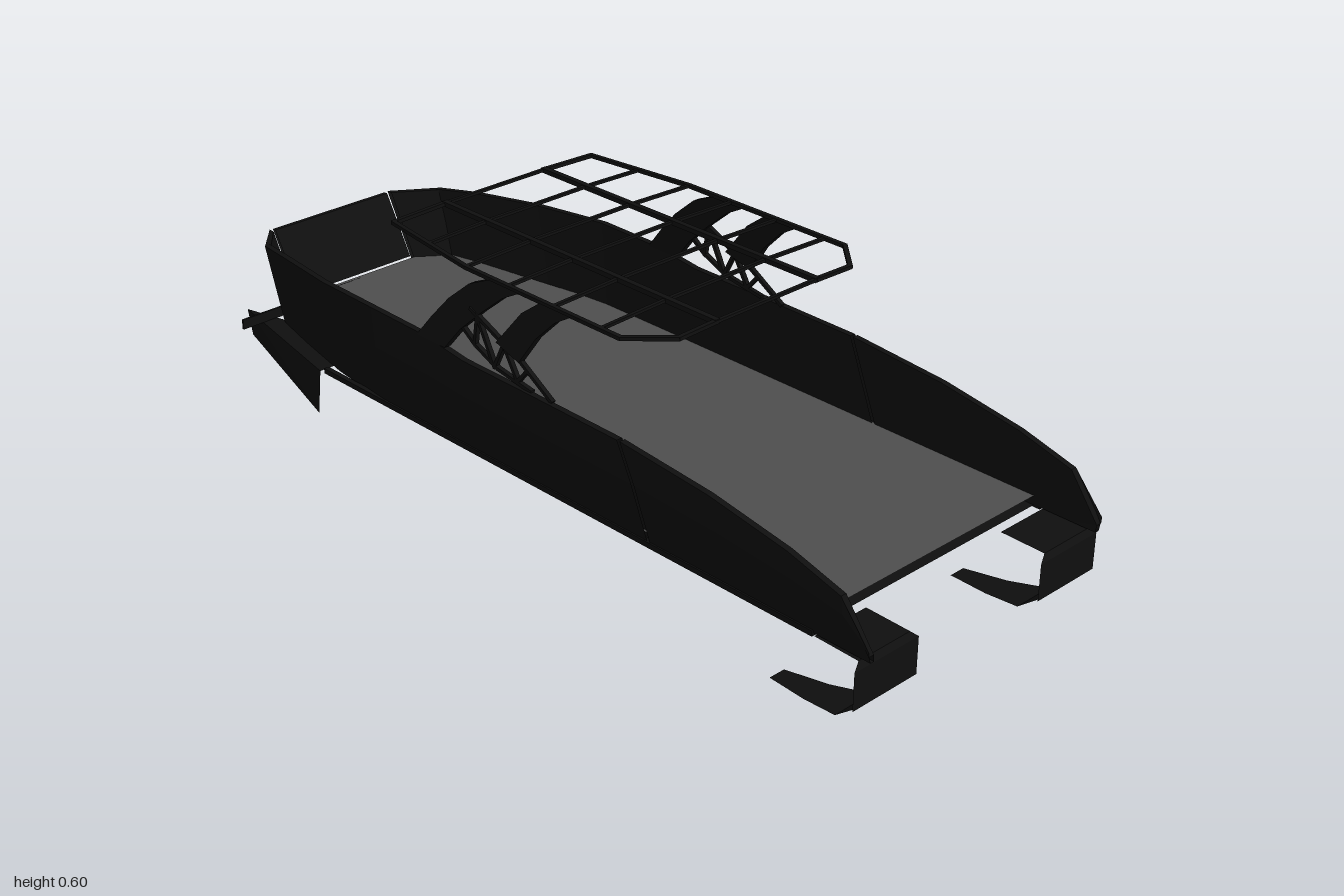
import * as THREE from 'three';

export function createModel() {
  const model = new THREE.Group();
  const black = new THREE.MeshStandardMaterial({ name: 'hullBlack', color: 0x0f0f0f, side: THREE.DoubleSide });
  const grey = new THREE.MeshStandardMaterial({ name: 'deckGrey', color: 0x4f4f4f, side: THREE.DoubleSide });

  const add = (name, geo, mat = black, parent = model) => {
    const mesh = new THREE.Mesh(geo, mat);
    mesh.name = name;
    parent.add(mesh);
    return mesh;
  };

  // Joins cross-sections of equal length with flat quads; closed wraps each section
  function loft(sections, closed = false) {
    const pos = [];
    const n = sections[0].length;
    for (let i = 0; i + 1 < sections.length; i++) {
      for (let j = 0; j < (closed ? n : n - 1); j++) {
        const k = (j + 1) % n;
        const [a, b, c, d] = [sections[i][j], sections[i][k], sections[i + 1][k], sections[i + 1][j]];
        pos.push(...a, ...b, ...c, ...a, ...c, ...d);
      }
    }
    const geo = new THREE.BufferGeometry();
    geo.setAttribute('position', new THREE.Float32BufferAttribute(pos, 3));
    geo.computeVertexNormals();
    return geo;
  }

  // Square bar between two points
  function bar(name, a, b, w, parent) {
    const p = new THREE.Vector3(...a), q = new THREE.Vector3(...b);
    const mesh = add(name, new THREE.BoxGeometry(w, w * 0.8, p.distanceTo(q) + w * 0.5), black, parent);
    mesh.position.copy(p).add(q).multiplyScalar(0.5);
    mesh.lookAt(q);
    return mesh;
  }

  // Flat plate with a mirrored outline given as [x, z]
  function plate(points, y) {
    const outline = [...points, ...points.slice().reverse().map(([x, z]) => [-x, z])];
    const geo = new THREE.ShapeGeometry(new THREE.Shape(outline.map(([x, z]) => new THREE.Vector2(x, -z))));
    return geo.rotateX(-Math.PI / 2).translate(0, y, 0);
  }

  // Deck and underside
  const deckEdge = [[0.33, 0.85], [0.33, -0.38], [0.25, -0.84], [0.17, -0.9]];
  add('deck', plate(deckEdge, 0.21), grey);
  add('underside', plate(deckEdge, 0.188));
  add('deckEdgePanel', new THREE.BoxGeometry(0.34, 0.024, 0.005)).position.set(-0.17, 0.198, -0.89);

  // Stern panel, leaning outward
  add('sternPanel', loft([
    [[-0.165, 0.21, -0.92], [-0.165, 0.35, -1], [-0.165, 0.35, -0.99], [-0.165, 0.21, -0.91]],
    [[0.165, 0.21, -0.92], [0.165, 0.35, -1], [0.165, 0.35, -0.99], [0.165, 0.21, -0.91]]], true));

  // Everything that exists on both sides
  const side = new THREE.Group();
  side.name = 'leftSide';

  // Side walls: stations of [x, top y, top z, bottom z]
  const wall = (stations) => loft(stations.map(([x, y, zt, zb]) => [
    [x - 0.003, 0.19, zb], [x + 0.004, 0.23 + (y - 0.23) * 0.5, (zt + zb) / 2],
    [x + 0.003, y, zt], [x - 0.011, y, zt], [x - 0.013, 0.19, zb]]), true);
  add('frontWall', wall([[0.337, 0.205, 1, 1], [0.337, 0.3, 0.93, 0.94], [0.337, 0.335, 0.8, 0.82],
    [0.337, 0.367, 0.6, 0.64], [0.337, 0.386, 0.364, 0.444]]), black, side);
  add('rearWall', wall([[0.337, 0.386, 0.357, 0.437], [0.337, 0.389, 0.1, 0.12], [0.337, 0.39, -0.1, -0.1],
    [0.337, 0.405, -0.22, -0.2], [0.336, 0.407, -0.4, -0.38], [0.317, 0.395, -0.6, -0.56],
    [0.283, 0.381, -0.78, -0.73], [0.255, 0.366, -0.9, -0.85]]), black, side);
  add('cornerPanel', loft([
    [[0.25, 0.19, -0.85], [0.257, 0.366, -0.9], [0.248, 0.366, -0.89], [0.242, 0.19, -0.84]],
    [[0.174, 0.2, -0.918], [0.174, 0.351, -1], [0.174, 0.351, -0.985], [0.174, 0.2, -0.905]]], true), black, side);
  add('keelStrip', new THREE.BoxGeometry(0.012, 0.012, 1.45), black, side).position.set(0.332, 0.19, 0.14);

  // Rear fin: outer blade and the shelf joining it to the hull
  add('rearFinBlade', loft([
    [[0.355, 0.09, -0.59], [0.345, 0.19, -0.59]],
    [[0.278, 0.133, -0.945], [0.268, 0.185, -0.975]]]), black, side);
  add('rearFinShelf', loft([
    [[0.345, 0.19, -0.59], [0.24, 0.19, -0.59]],
    [[0.268, 0.185, -0.975], [0.24, 0.188, -0.85]]]), black, side);

  // Front drive: a bent sheet open to the rear, [half width, y, z]
  add('frontDrive', loft([[0.07, 0.187, 0.87], [0.07, 0.185, 0.975], [0.0875, 0.17, 0.982], [0.0875, 0.088, 0.982],
    [0.07, 0.087, 0.98], [0.05, 0.027, 0.91], [0.035, 0.01, 0.82], [0.02, 0.001, 0.72]].map(([w, y, z]) =>
    [[0.267 - w, y, z], [0.267 + w, y, z]])), black, side);

  // Curved canopy struts: pairs of edge points [z front, z back, y], leaning inward
  const strut = (name, rows) => add(name, loft(rows.map(([zf, zb, yf, yb]) => {
    const xf = 0.336 - (yf - 0.4) * 0.1, xb = 0.336 - (yb - 0.4) * 0.1;
    return [[xf + 0.005, yf, zf], [xb + 0.005, yb, zb], [xb - 0.012, yb, zb], [xf - 0.012, yf, zf]];
  }), true), black, side);
  strut('rearStrut', [[0.06, -0.03, 0.587, 0.587], [0.01, -0.09, 0.56, 0.56], [-0.05, -0.15, 0.51, 0.51],
    [-0.11, -0.2, 0.455, 0.455], [-0.155, -0.245, 0.4, 0.4]]);
  strut('frontStrut', [[0.21, 0.12, 0.587, 0.587], [0.165, 0.07, 0.56, 0.55],
    [0.115, 0.025, 0.51, 0.495], [0.07, 0, 0.445, 0.465]]);

  // Bracing between the struts, path points are [z, y]
  const brace = (pts) => pts.slice(1).forEach((q, i) =>
    bar('brace', [0.328, pts[i][1], pts[i][0]], [0.328, q[1], q[0]], 0.01, side));
  brace([[0.16, 0.39], [0.07, 0.445], [0, 0.475], [-0.08, 0.51]]);
  brace([[0.1, 0.39], [0.0, 0.405], [-0.07, 0.435], [-0.12, 0.47]]);
  brace([[0.09, 0.432], [0.06, 0.398], [0.02, 0.465], [-0.01, 0.405], [-0.06, 0.5], [-0.07, 0.435]]);

  const mirrored = side.clone();
  mirrored.name = 'rightSide';
  mirrored.scale.x = -1;
  model.add(side, mirrored);

  // Canopy frame, slightly arched
  const canopy = new THREE.Group();
  canopy.name = 'canopyFrame';
  model.add(canopy);
  const arch = (x) => 0.594 - 0.07 * x * x;
  const canopyBar = (name, a, b, w = 0.01) => bar(name, [a[0], arch(a[0]), a[1]], [b[0], arch(b[0]), b[1]], w, canopy);
  const half = [[0.14, -0.385], [0.28, -0.385], [0.315, -0.11], [0.315, 0.34], [0.24, 0.42], [0.14, 0.42]];
  for (const s of [-1, 1]) {
    for (let i = 0; i + 1 < half.length; i++) {
      canopyBar('canopyRim', [half[i][0] * s, half[i][1]], [half[i + 1][0] * s, half[i + 1][1]]);
    }
    canopyBar('canopyRail', [0.14 * s, -0.385], [0.14 * s, 0.42], 0.013);
  }
  for (const z of [-0.385, -0.25, -0.11, 0.018, 0.15, 0.285, 0.42]) {
    const w = z < -0.2 && z > -0.3 ? 0.298 : 0.315;
    canopyBar('canopyCrossbar', [-0.14, z], [0.14, z], 0.008);
    if (Math.abs(z) > 0.38) continue;
    for (const s of [-1, 1]) canopyBar('canopyCrossbar', [0.14 * s, z], [w * s, z], 0.008);
  }
  return model;
}
